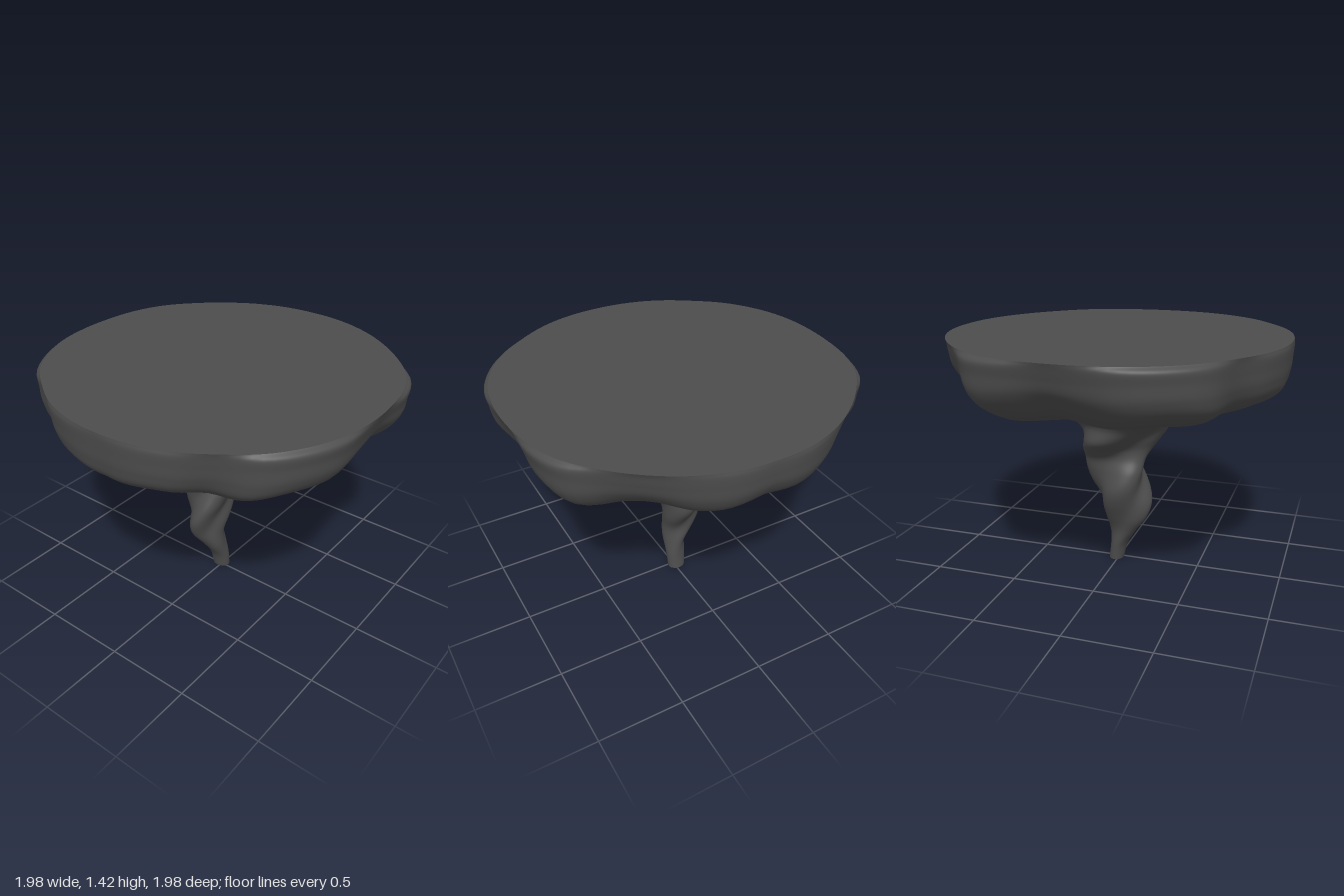
import * as THREE from 'three';

const SEG = 120, RINGS = 140;

// Cross-sections from foot to rim: y, left x, right x, back z, front z, twist depth, rim lobe depth
const SECTIONS = [
  [0.00, -0.07, 0.04, -0.06, 0.03, 0.00, 0],
  [0.10, -0.08, 0.045, -0.05, 0.055, 0.03, 0],
  [0.20, -0.095, 0.04, -0.045, 0.12, 0.07, 0],
  [0.30, -0.135, 0.03, -0.06, 0.18, 0.11, 0],
  [0.40, -0.17, 0.045, -0.10, 0.205, 0.13, 0],
  [0.50, -0.19, 0.06, -0.14, 0.20, 0.14, 0],
  [0.60, -0.185, 0.075, -0.165, 0.185, 0.14, 0],
  [0.68, -0.18, 0.13, -0.19, 0.17, 0.14, 0],
  [0.74, -0.215, 0.235, -0.22, 0.19, 0.13, 0],
  [0.81, -0.265, 0.255, -0.24, 0.24, 0.12, 0],
  [0.90, -0.29, 0.27, -0.29, 0.33, 0.09, 0],
  [0.96, -0.36, 0.34, -0.35, 0.41, 0.06, 0.2],
  [1.00, -0.48, 0.49, -0.52, 0.50, 0.03, 0.6],
  [1.05, -0.67, 0.67, -0.70, 0.66, 0.01, 1.2],
  [1.10, -0.78, 0.77, -0.82, 0.84, 0, 1.6],
  [1.17, -0.87, 0.87, -0.92, 0.94, 0, 1.7],
  [1.25, -0.94, 0.94, -0.97, 0.97, 0, 1.4],
  [1.33, -0.97, 0.97, -0.985, 0.98, 0, 1.1],
  [1.39, -0.99, 0.99, -0.99, 0.985, 0, 0.9],
  [1.42, -0.995, 0.995, -0.99, 0.985, 0, 0.25],
];

// Rim bulge from the front (0) round to the back (PI), mirrored on the other side
const RIM = [1, 1.01, 1.01, 0.99, 1.04, 1.05, 1.04, 1, 0.99, 1.035, 1.05, 1.0, 0.985, 1, 1.01, 1];

function smoothTable(rows) {
  const size = rows[0].length;
  const curve = new THREE.CubicInterpolant(rows.map((_, i) => i), rows.flat(), size, new Float32Array(size));
  return (t) => Array.from(curve.evaluate(t * (rows.length - 1)));
}
const section = smoothTable(SECTIONS);
const rim = smoothTable(RIM.map((v) => [v]));

function surfacePoint(t, angle) {
  const [y, x0, x1, z0, z1, twist, lobe] = section(t);
  const s = Math.sin(angle), c = Math.cos(angle);
  const side = Math.acos(THREE.MathUtils.clamp(c, -1, 1)) / Math.PI;
  const bulge = rim(side)[0] - 1;
  // Three strands wind up the stem
  const strands = twist * (Math.cos(3 * (angle - 5.5 * y)) - 0.25);
  const r = 1 + strands + bulge * lobe;
  // Lobes droop under the canopy
  const under = THREE.MathUtils.smoothstep(y, 0.95, 1.08) * (1 - THREE.MathUtils.smoothstep(y, 1.18, 1.4));
  const droop = under * (0.012 * Math.cos(9 * angle) + 0.35 * bulge);
  return [
    (x0 + x1) / 2 + ((x1 - x0) / 2) * s * r,
    y - droop,
    (z0 + z1) / 2 + ((z1 - z0) / 2) * c * r,
  ];
}

// Twisted stem flowing into the lobed canopy, as one lofted skin
function makeBody() {
  const pos = [], index = [];
  for (let i = 0; i <= RINGS; i++)
    for (let j = 0; j < SEG; j++) pos.push(...surfacePoint(i / RINGS, (j / SEG) * Math.PI * 2));
  for (let i = 0; i < RINGS; i++)
    for (let j = 0; j < SEG; j++) {
      const k = (j + 1) % SEG;
      const a = i * SEG + j, b = i * SEG + k, c = a + SEG, d = b + SEG;
      index.push(a, b, d, a, d, c);
    }
  return finish(pos, index);
}

// Flat cap closing one end of the skin
function makeCap(t, up) {
  const [y, x0, x1, z0, z1] = section(t);
  const pos = [(x0 + x1) / 2, y, (z0 + z1) / 2], index = [];
  for (let j = 0; j < SEG; j++) {
    pos.push(...surfacePoint(t, (j / SEG) * Math.PI * 2));
    const a = j + 1, b = ((j + 1) % SEG) + 1;
    index.push(0, up ? a : b, up ? b : a);
  }
  return finish(pos, index);
}

function finish(pos, index) {
  const g = new THREE.BufferGeometry();
  g.setAttribute('position', new THREE.Float32BufferAttribute(pos, 3));
  g.setIndex(index);
  g.computeVertexNormals();
  return g;
}

export function createModel() {
  const stone = new THREE.MeshStandardMaterial({ color: 0x4d4d4d });
  stone.name = 'dark grey';
  const group = new THREE.Group();
  group.name = 'twistedTable';
  const add = (name, geometry) => {
    const mesh = new THREE.Mesh(geometry, stone);
    mesh.name = name;
    group.add(mesh);
  };
  add('stemAndCanopy', makeBody());
  add('tableTop', makeCap(1, true));
  add('foot', makeCap(0, false));
  return group;
}
